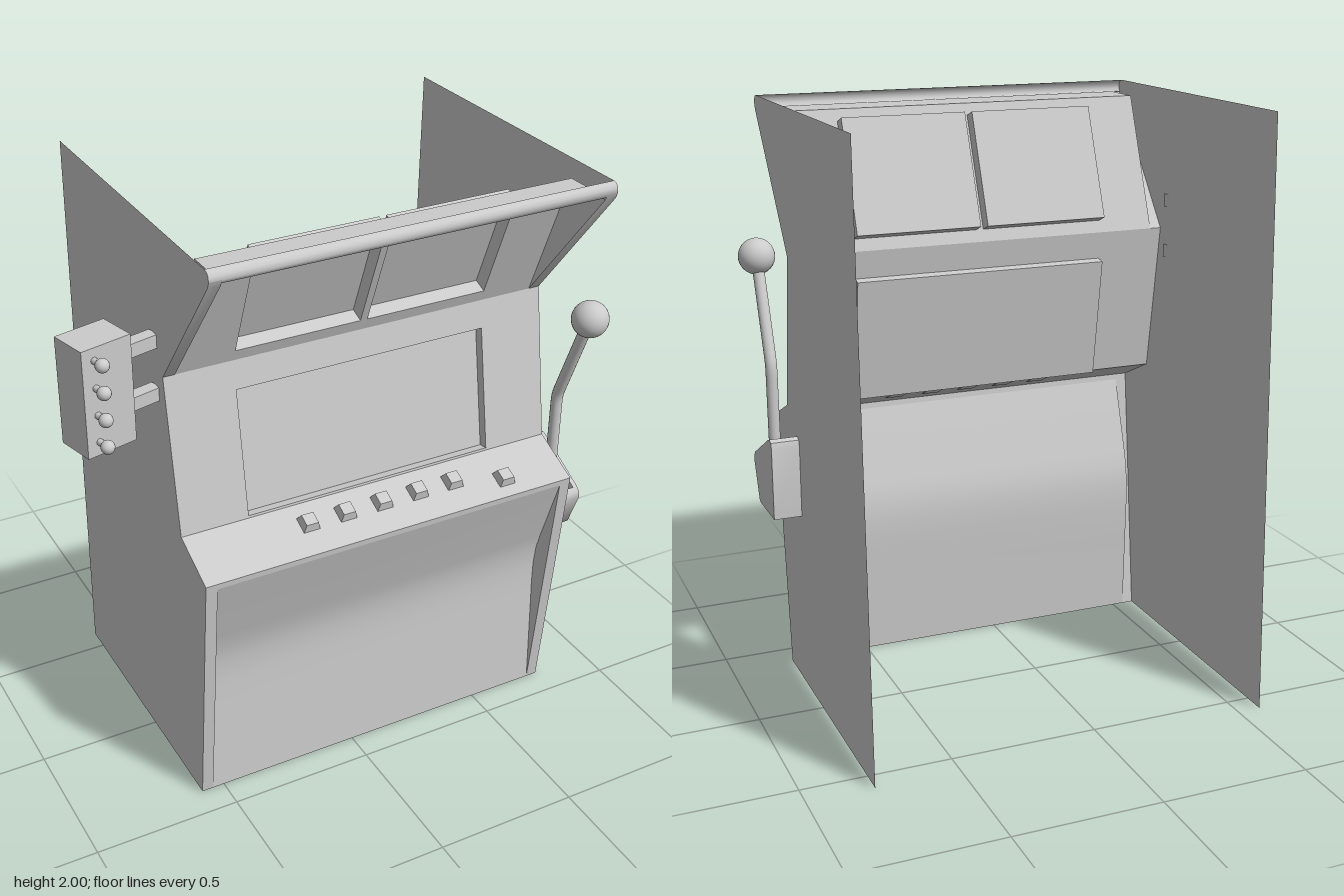
import * as THREE from 'three';
import { toCreasedNormals } from 'three/addons/utils/BufferGeometryUtils.js';

const mat = new THREE.MeshStandardMaterial({ color: 0xcccccc, side: THREE.DoubleSide });
const X0 = -0.58, X1 = 0.78, RIM = 0.04; // cabinet sides and rim width

// Key profile points, written as [z, y]
const NECK_LOW = [0.313, 0.985], NECK_TOP = [0.225, 1.51];
const ROOF_BACK = [0.4, 1.96], ROOF_FRONT = [0.555, 1.96];
const FRONT_EDGE = [[0.4, 0], [0.488, 0.885], [0.49, 0.905]];
const HOOD_EDGE = [NECK_TOP, [0.572, 1.95], [0.58, 1.97]];
const LIP = [[0.58, 1.97], [0.578, 1.985], [0.57, 1.996], [0.555, 2]];
const LOWER = [[0.4, 0], [0.386, 0.3], [0.38, 0.42], [0.38, 0.5], [0.388, 0.57], [0.405, 0.63], [0.488, 0.885]];
const HOUSING = [[0.365, 0.63], [0.38, 0.637], [0.43, 0.765], [0.427, 0.785], [0.413, 0.8],
  [0.217, 0.9], [0.195, 0.908], [0.178, 0.9], [0.172, 0.88], [0.178, 0.63]];

function add(parent, name, geometry) {
  const mesh = new THREE.Mesh(geometry, mat);
  mesh.name = name;
  parent.add(mesh);
  return mesh;
}

const toShape = (pts) => new THREE.Shape(pts.map(([z, y]) => new THREE.Vector2(z, y)));

// Flat sheet in the z-y plane at a given x
function sidePlate(parent, name, x, shape) {
  const geo = new THREE.ShapeGeometry(shape);
  geo.scale(-1, 1, 1).rotateY(Math.PI / 2).translate(x, 0, 0);
  // scaling by -1 mirrors the winding, so restore it
  const idx = geo.index.array;
  for (let i = 0; i < idx.length; i += 3) [idx[i], idx[i + 1]] = [idx[i + 1], idx[i]];
  return add(parent, name, toCreasedNormals(geo, 0.1));
}

// Profile of [z, y] points swept straight from xa to xb
function sheet(parent, name, pts, xa, xb, crease = 0.5) {
  const pos = [], idx = [];
  pts.forEach(([z, y], i) => {
    pos.push(xa, y, z, xb, y, z);
    const a = i * 2;
    if (i) idx.push(a - 2, a - 1, a + 1, a - 2, a + 1, a);
  });
  const geo = new THREE.BufferGeometry();
  geo.setAttribute('position', new THREE.Float32BufferAttribute(pos, 3));
  geo.setIndex(idx);
  return add(parent, name, toCreasedNormals(geo, crease));
}

// Sloping panel between two profile points, with sunken screens [x0, x1, y0, y1]
function screenPanel(parent, name, [z0, y0], [z1, y1], xa, xb, screens, depth) {
  const group = new THREE.Group();
  group.name = name;
  group.position.set(0, y0, z0);
  group.rotation.x = Math.atan2(z1 - z0, y1 - y0);
  const len = Math.hypot(z1 - z0, y1 - y0), k = len / (y1 - y0);
  const rect = (a, b, c, d) => [[a, c], [b, c], [b, d], [a, d]];
  const shape = toShape(rect(xa, xb, 0, len));
  for (const [a, b, c, d] of screens) {
    const s = (c - y0) * k, t = (d - y0) * k;
    shape.holes.push(toShape(rect(a, b, s, t)));
    // open-fronted box: all faces but +z
    const box = new THREE.BoxGeometry(b - a, t - s, depth);
    const kept = Array.from(box.index.array).filter((_, i) => i < 24 || i >= 30);
    box.setIndex(kept);
    box.clearGroups();
    add(group, 'screenRecess', box).position.set((a + b) / 2, (s + t) / 2, -depth / 2);
  }
  add(group, 'panelFace', new THREE.ShapeGeometry(shape));
  parent.add(group);
}

function buildCabinet(root) {
  const cabinet = new THREE.Group();
  cabinet.name = 'cabinet';
  root.add(cabinet);

  // Side walls; the one beside the lever is cut out behind its housing
  const outline = [...FRONT_EDGE, NECK_LOW, ...HOOD_EDGE, ...LIP.slice(1), [-0.54, 2], [-0.58, 0]];
  sidePlate(cabinet, 'rightSide', X0, toShape(outline));
  const leverSide = toShape(outline);
  leverSide.holes.push(toShape(HOUSING));
  sidePlate(cabinet, 'leftSide', X1, leverSide);

  // Raised rims and their inner cheeks, on both sides
  for (const [a, b, inner] of [[X0, X0 + RIM, X0 + RIM], [X1 - RIM, X1, X1 - RIM]]) {
    sheet(cabinet, 'lowerRim', FRONT_EDGE, a, b);
    sheet(cabinet, 'hoodRim', HOOD_EDGE, a, b);
    sidePlate(cabinet, 'lowerCheek', inner, toShape([FRONT_EDGE[0], FRONT_EDGE[1], ...LOWER.slice(1, -1).reverse()]));
    sidePlate(cabinet, 'hoodCheek', inner, toShape([NECK_TOP, [0.572, 1.95], ROOF_FRONT, ROOF_BACK]));
  }

  // Front surfaces from the floor up
  sheet(cabinet, 'lowerFront', LOWER, X0 + RIM, X1 - RIM, 0.6);
  sheet(cabinet, 'controlShelf', [FRONT_EDGE[1], FRONT_EDGE[2], NECK_LOW], X0, X1);
  screenPanel(cabinet, 'mainScreenPanel', NECK_LOW, NECK_TOP, X0, X1, [[-0.345, 0.55, 0.993, 1.415]], 0.035);
  screenPanel(cabinet, 'upperScreenPanel', NECK_TOP, ROOF_BACK, X0 + RIM, X1 - RIM,
    [[-0.345, 0.09, 1.55, 1.92], [0.115, 0.55, 1.55, 1.92]], 0.05);
  sheet(cabinet, 'hoodCeiling', [ROOF_FRONT, ROOF_BACK], X0 + RIM, X1 - RIM);
  sheet(cabinet, 'hoodLip', [ROOF_FRONT, [0.572, 1.957], ...LIP], X0, X1, 1.2);
}

function buildButtons(root) {
  const dz = NECK_LOW[0] - 0.49, dy = NECK_LOW[1] - 0.905;
  for (const [x, y] of [[-0.17, 0.952], [-0.035, 0.952], [0.1, 0.952], [0.235, 0.952], [0.37, 0.952], [0.55, 0.934]]) {
    // tapered key cap
    const geo = new THREE.CylinderGeometry(0.03, 0.042, 0.03, 4, 1).rotateY(Math.PI / 4).toNonIndexed();
    geo.computeVertexNormals();
    const button = add(root, 'button', geo);
    button.position.set(x, y + 0.012, 0.49 + dz * (y - 0.905) / dy + 0.005);
    button.rotation.x = Math.atan2(dy, -dz);
  }
}

function buildLever(root) {
  const lever = new THREE.Group();
  lever.name = 'lever';
  root.add(lever);
  const a = X1, b = 0.875, s0 = 0.8, s1 = 0.858;

  // Housing: outer plate and wrapped wall, with a slot along the sloping top
  sidePlate(lever, 'housingPlate', b, toShape(HOUSING));
  sheet(lever, 'housingFront', HOUSING.slice(0, 5), a, b, 0.8);
  sheet(lever, 'housingTopInner', HOUSING.slice(4, 7), a, s0, 0.8);
  sheet(lever, 'housingTopOuter', HOUSING.slice(4, 7), s1, b, 0.8);
  sheet(lever, 'housingBack', HOUSING.slice(6), a, b, 0.8);

  // Bent rod with a ball grip
  const x = 0.828, p = (y, z) => new THREE.Vector3(x, y, z);
  const path = new THREE.CurvePath();
  path.add(new THREE.LineCurve3(p(0.76, 0.315), p(1.1, 0.315)));
  path.add(new THREE.QuadraticBezierCurve3(p(1.1, 0.315), p(1.13, 0.315), p(1.155, 0.325)));
  path.add(new THREE.LineCurve3(p(1.155, 0.325), p(1.476, 0.45)));
  add(lever, 'leverRod', new THREE.TubeGeometry(path, 40, 0.02, 16));
  add(lever, 'leverBall', new THREE.SphereGeometry(0.062, 32, 20)).position.set(x, 1.476, 0.45);
}

function buildSideBox(root) {
  const box = new THREE.Group();
  box.name = 'sideBox';
  box.position.set(-0.79, 1.522, 0.22);
  box.rotation.y = THREE.MathUtils.degToRad(14);
  root.add(box);
  add(box, 'boxBody', new THREE.BoxGeometry(0.175, 0.355, 0.133));

  // Arms to the cabinet
  for (const y of [0.093, -0.087]) {
    add(box, 'boxArm', new THREE.BoxGeometry(0.135, 0.045, 0.045)).position.set(0.15, y, 0);
  }
  // Knobs on short stems
  for (let i = 0; i < 4; i++) {
    const y = 0.137 - i * 0.09;
    add(box, 'knob', new THREE.SphereGeometry(0.022, 20, 14)).position.set(-0.045, y, 0.107);
    add(box, 'knobStem', new THREE.CylinderGeometry(0.011, 0.011, 0.04, 14).rotateX(Math.PI / 2))
      .position.set(-0.045, y, 0.08);
  }
}

export function createModel() {
  const root = new THREE.Group();
  root.name = 'leverCabinet';
  buildCabinet(root);
  buildButtons(root);
  buildLever(root);
  buildSideBox(root);
  return root;
}
